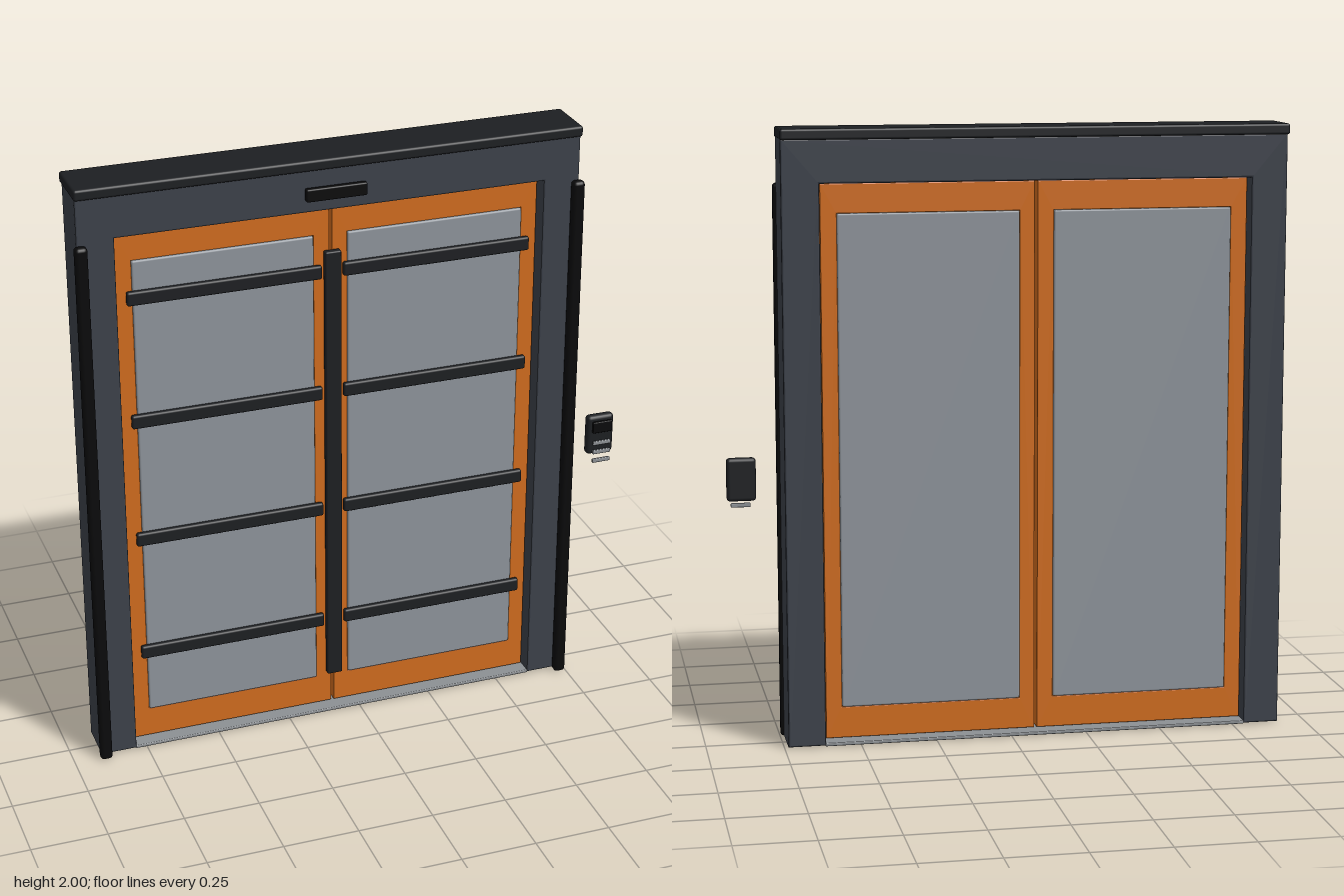
import * as THREE from 'three';
import { RoundedBoxGeometry } from 'three/addons/geometries/RoundedBoxGeometry.js';

const mat = (color) => new THREE.MeshStandardMaterial({ color });
const FRAME = mat(0x3c414a), DARK = mat(0x1d1f22), BLACK = mat(0x0a0a0b);
const ORANGE = mat(0xd06c1e), GLASS = mat(0x8e949b), METAL = mat(0x8c9094);

// Softly rounded box given by its extents on each axis
function block(name, [x0, x1], [y0, y1], [z0, z1], material, radius = 0.004) {
  const w = x1 - x0, h = y1 - y0, d = z1 - z0;
  const geo = new RoundedBoxGeometry(w, h, d, 2, Math.min(radius, w / 2.1, h / 2.1, d / 2.1));
  const mesh = new THREE.Mesh(geo, material);
  mesh.position.set((x0 + x1) / 2, (y0 + y1) / 2, (z0 + z1) / 2);
  mesh.name = name;
  return mesh;
}

// Shape extruded from z0 to z1, with bevelled edges kept inside the outline
function slab(name, shape, [z0, z1], bevel, material) {
  const geo = new THREE.ExtrudeGeometry(shape, {
    depth: z1 - z0 - 2 * bevel, bevelThickness: bevel, bevelSize: bevel, bevelOffset: -bevel, bevelSegments: 2,
  });
  const mesh = new THREE.Mesh(geo, material);
  mesh.position.z = z0 + bevel;
  mesh.name = name;
  return mesh;
}

const outline = (target, points) => target.setFromPoints(points.map(([x, y]) => new THREE.Vector2(x, y)));
const corners = ([x0, x1], [y0, y1]) => [[x0, y0], [x1, y0], [x1, y1], [x0, y1]];

// One sliding leaf, placed by its outer x range, its glass x range and its bar x range
function doorLeaf(name, outer, pane, bars) {
  const leaf = new THREE.Group();
  leaf.name = name;
  const paneY = [0.122, 1.73];
  const shape = outline(new THREE.Shape(), corners(outer, [0.018, 1.825]));
  shape.holes.push(outline(new THREE.Path(), corners(pane, paneY)));
  leaf.add(
    slab('leafFrame', shape, [-0.045, 0.025], 0.003, ORANGE),
    // The pane stands slightly proud of the leaf on both sides
    block('glassPane', pane, paneY, [-0.051, 0.031], GLASS, 0.006));
  // Horizontal guard bars on the front
  for (const y of [0.352, 0.772, 1.192, 1.612])
    leaf.add(block('guardBar', bars, [y - 0.023, y + 0.023], [0.03, 0.05], DARK, 0.007));
  return leaf;
}

export function createModel() {
  const model = new THREE.Group();
  model.name = 'slidingDoor';

  // Fixed surround: one portal with two jambs and a header
  const surround = new THREE.Group();
  surround.name = 'surround';
  const depth = [-0.083, 0.067];
  const portal = outline(new THREE.Shape(), [
    [-0.905, 0.004], [-0.786, 0.004], [-0.786, 1.827], [0.616, 1.827],
    [0.616, 0.004], [0.738, 0.004], [0.738, 1.968], [-0.905, 1.968],
  ]);
  surround.add(
    slab('portal', portal, depth, 0.006, FRAME),
    block('topCap', [-0.908, 0.74], [1.965, 2], [-0.1, 0.08], DARK, 0.008),
    block('threshold', [-0.788, 0.618], [0.002, 0.013], depth, METAL, 0.003),
    block('motionSensor', [-0.184, 0.014], [1.87, 1.912], [0.072, 0.093], BLACK, 0.005));
  // Round-edged rails on the outer front edges
  for (const x of [-0.895, 0.728])
    surround.add(block('edgeRail', [x - 0.02, x + 0.02], [0, 1.82], [0.064, 0.098], BLACK, 0.012));
  model.add(surround);

  // Pair of leaves with the vertical bar over the meeting line
  model.add(
    doorLeaf('rightLeaf', [-0.781, -0.089], [-0.727, -0.142], [-0.75, -0.12]),
    doorLeaf('leftLeaf', [-0.08, 0.611], [-0.03, 0.558], [-0.049, 0.58]),
    block('meetingBar', [-0.111, -0.058], [0.14, 1.68], [0.03, 0.054], DARK, 0.005));

  // Separate access reader beside the door
  const reader = new THREE.Group();
  reader.name = 'accessReader';
  reader.add(
    block('readerBody', [0.82, 0.915], [0.804, 0.945], [0.01, 0.042], DARK, 0.012),
    block('readerScreen', [0.833, 0.902], [0.89, 0.93], [0.046, 0.058], BLACK, 0.003));
  for (const y of [0.85, 0.817, 0.785])
    reader.add(block('readerStrip', [0.836, 0.9], [y - 0.007, y + 0.007], [0.046, 0.056], METAL, 0.003));
  model.add(reader);

  return model;
}
